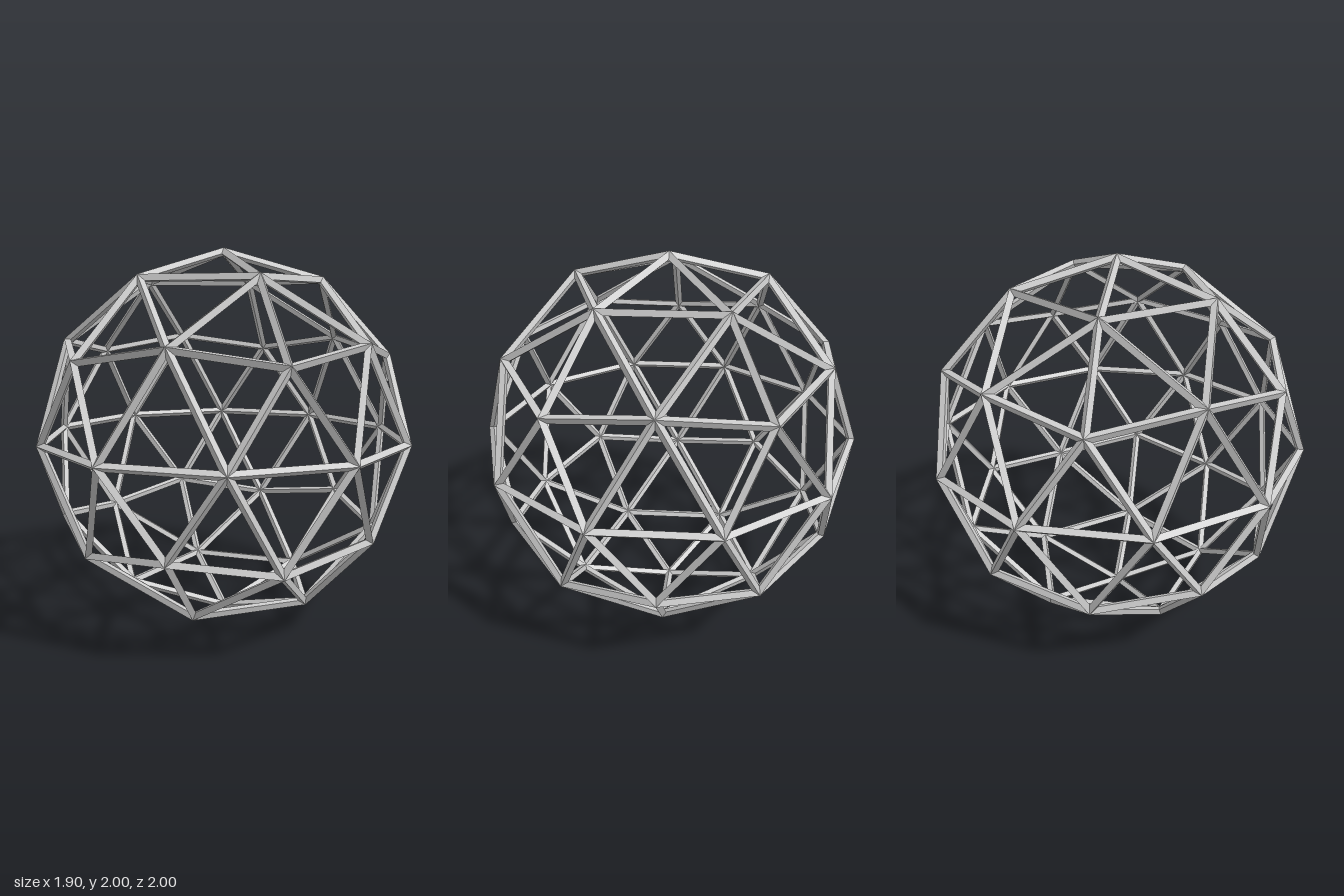
import * as THREE from 'three';

const THICKNESS = 0.044;              // diagonal of the diamond strut section
const OUTER = 1, MIDDLE = 1 - THICKNESS / 2, INNER = 1 - THICKNESS;

// Twenty faces of an icosahedron standing on a corner, wound outward
function icosahedronFaces() {
  const h = 1 / Math.sqrt(5), r = 2 * h;
  const ring = (y, shift) => Array.from({ length: 5 }, (_, k) => {
    const a = (k + shift) * Math.PI * 2 / 5;
    return new THREE.Vector3(r * Math.cos(a), y, r * Math.sin(a));
  });
  const top = new THREE.Vector3(0, 1, 0), bottom = new THREE.Vector3(0, -1, 0);
  const up = ring(h, 0), low = ring(-h, 0.5);
  const faces = [];
  for (let k = 0; k < 5; k++) {
    const n = (k + 1) % 5;
    faces.push([top, up[n], up[k]], [up[k], up[n], low[k]],
      [low[k], up[n], low[n]], [low[k], low[n], bottom]);
  }
  return faces;
}

// Split each face in four and push the new corners out to the sphere
function subdivide(faces) {
  const mid = (p, q) => p.clone().add(q).normalize();
  return faces.flatMap(([a, b, c]) => {
    const ab = mid(a, b), bc = mid(b, c), ca = mid(c, a);
    return [[a, ab, ca], [ab, b, bc], [ca, bc, c], [ab, bc, ca]];
  });
}

// Corner moved into its triangle so that both edges shift by half a strut
function insetCorner(p, next, prev) {
  const u = next.clone().sub(p).normalize();
  const v = prev.clone().sub(p).normalize();
  const halfAngle = u.angleTo(v) / 2;
  return u.add(v).normalize().multiplyScalar(THICKNESS / 2 / Math.sin(halfAngle))
    .addScaledVector(p, MIDDLE);
}

// Struts with a ridge outward and inward, mitred where they meet
function latticeGeometry() {
  const positions = [];
  const quad = (a, b, c, d) => {
    for (const p of [a, b, c, a, c, d]) positions.push(p.x, p.y, p.z);
  };
  for (const face of subdivide(icosahedronFaces())) {
    const outer = face.map(p => p.clone().multiplyScalar(OUTER));
    const inner = face.map(p => p.clone().multiplyScalar(INNER));
    const inset = face.map((p, i) => insetCorner(p, face[(i + 1) % 3], face[(i + 2) % 3]));
    for (let i = 0; i < 3; i++) {
      const j = (i + 1) % 3;
      quad(outer[i], outer[j], inset[j], inset[i]);
      quad(inset[i], inset[j], inner[j], inner[i]);
    }
  }
  const geometry = new THREE.BufferGeometry();
  geometry.setAttribute('position', new THREE.Float32BufferAttribute(positions, 3));
  geometry.computeVertexNormals();
  return geometry;
}

export function createModel() {
  const group = new THREE.Group();
  group.name = 'geodesicSphere';
  const lattice = new THREE.Mesh(latticeGeometry(),
    new THREE.MeshStandardMaterial({ color: 0xcccccc, flatShading: true }));
  lattice.name = 'strutLattice';
  lattice.position.y = 1;
  group.add(lattice);
  return group;
}
